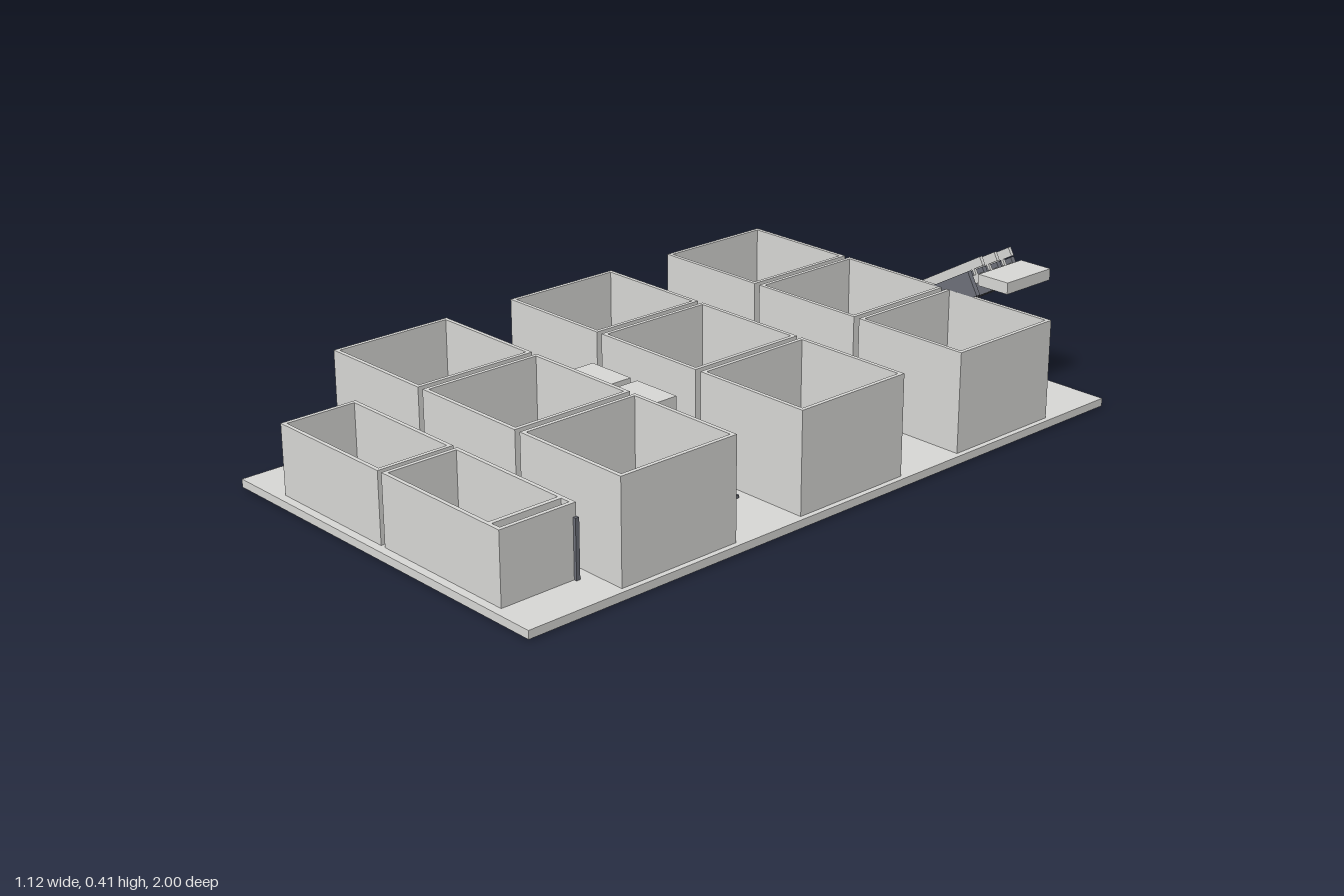
import * as THREE from 'three';

const light = new THREE.MeshStandardMaterial({ color: 0xdadad8 });
light.name = 'lightGrey';
const dark = new THREE.MeshStandardMaterial({ color: 0x6f727b });
dark.name = 'slateGrey';

// Box from minimum and maximum corners
function box(parent, name, mat, x0, x1, y0, y1, z0, z1) {
  const mesh = new THREE.Mesh(new THREE.BoxGeometry(x1 - x0, y1 - y0, z1 - z0), mat);
  mesh.position.set((x0 + x1) / 2, (y0 + y1) / 2, (z0 + z1) / 2);
  mesh.name = name;
  parent.add(mesh);
  return mesh;
}

// Counter-clockwise rectangle, so that extruded hole walls face inwards
function rect(Type, x0, x1, z0, z1) {
  return new Type([[x0, z0], [x0, z1], [x1, z1], [x1, z0]].map(([x, z]) => new THREE.Vector2(x, -z)));
}

// Slab or ring of walls with one rectangular hole, extruded upwards
function ring(parent, name, outer, inner, y0, y1) {
  const shape = rect(THREE.Shape, ...outer);
  shape.holes.push(rect(THREE.Path, ...inner));
  const geo = new THREE.ExtrudeGeometry(shape, { depth: y1 - y0, bevelEnabled: false });
  geo.rotateX(-Math.PI / 2).translate(0, y0, 0);
  const mesh = new THREE.Mesh(geo, light);
  mesh.name = name;
  parent.add(mesh);
}

const FLOOR = 0.03;
const WALL = 0.011;

function room(parent, name, x0, x1, z0, z1, top) {
  ring(parent, name, [x0, x1, z0, z1], [x0 + WALL, x1 - WALL, z0 + WALL, z1 - WALL], FLOOR, top);
}

export function createModel() {
  const model = new THREE.Group();
  model.name = 'buildingLayout';

  // Ground slab with the opening below the stairs
  ring(model, 'groundSlab', [-0.56, 0.56, -1, 1], [-0.2, 0.235, -0.945, -0.815], 0.008, FLOOR);

  // Three rows of three open rooms, each with a rear door and sign board
  const columns = [[-0.545, -0.194, -0.515, -0.23], [-0.176, 0.176, -0.165, 0.147], [0.194, 0.545, 0.225, 0.51]];
  for (const z of [-0.778, -0.21, 0.361]) {
    const row = new THREE.Group();
    row.name = 'roomRow';
    for (const [x0, x1, b0, b1] of columns) {
      room(row, 'roomWalls', x0, x1, z, z + 0.356, 0.304);
      box(row, 'signBoard', dark, b0, b1, 0.255, 0.285, z - 0.01, z - 0.002);
      const c = (x0 + x1) / 2;
      box(row, 'roomDoor', dark, c - 0.055, c + 0.055, FLOOR, 0.185, z - 0.006, z);
    }
    model.add(row);
  }

  // Two low front rooms with furniture along the front wall
  const front = new THREE.Group();
  front.name = 'frontRooms';
  room(front, 'frontRoomRight', -0.403, -0.008, 0.757, 0.977, 0.22);
  room(front, 'frontRoomLeft', 0.007, 0.438, 0.757, 0.977, 0.22);
  box(front, 'partition', light, 0.388, 0.4, FLOOR, 0.22, 0.768, 0.966);
  box(front, 'doorEdge', dark, 0.43, 0.446, FLOOR, 0.185, 0.755, 0.766);
  for (const x of [-0.392, 0.015]) {
    for (let i = 0; i < 5; i++) {
      const s = x + i * 0.063;
      box(front, 'seat', light, s, s + 0.05, FLOOR, 0.07, 0.905, 0.955);
    }
    box(front, 'bench', light, x + 0.11, x + 0.26, FLOOR, 0.055, 0.945, 0.965);
  }
  model.add(front);

  // Two closed cabins
  box(model, 'cabin', light, -0.16, -0.015, FLOOR, 0.24, 0.19, 0.333);
  box(model, 'cabin', light, 0.01, 0.155, FLOOR, 0.24, 0.19, 0.333);

  // Dark platform carrying a tilted panel
  box(model, 'panelBase', dark, 0.19, 0.365, FLOOR, 0.038, 0.177, 0.347);
  const panel = box(model, 'tiltedPanel', light, 0.208, 0.35, 0.052, 0.058, 0.19, 0.33);
  panel.rotation.x = -0.25;

  // Landings at both ends of the stairs
  box(model, 'upperLanding', light, 0.297, 0.397, 0.338, 0.37, -0.952, -0.775);
  box(model, 'lowerLanding', light, -0.365, -0.262, FLOOR, 0.04, -0.952, -0.775);

  // Low walls around the opening
  box(model, 'openingEndWall', light, 0.235, 0.245, FLOOR, 0.115, -0.955, -0.805);
  for (const z of [-0.955, -0.815]) box(model, 'openingSideWall', light, -0.04, 0.235, FLOOR, 0.115, z, z + 0.01);

  // Three inclined flights between four stringers, modelled flat and then tilted
  const stairs = new THREE.Group();
  stairs.name = 'inclinedStairs';
  stairs.rotation.z = Math.PI / 6;
  stairs.position.x = 0.003;
  for (let i = 0; i < 4; i++) {
    const z = -0.952 + i * 0.0593;
    box(stairs, 'stringer', dark, -0.2015, 0.413, 0.121, 0.191, z - 0.007, z + 0.007);
    if (i === 3) continue;
    box(stairs, 'flight', light, -0.195, 0.41, 0.153, 0.176, z + 0.007, z + 0.0523);
    box(stairs, 'handrail', light, -0.18, 0.443, 0.192, 0.217, z + 0.025, z + 0.035);
    for (const s of [-0.17, 0.03, 0.23, 0.4]) {
      box(stairs, 'railPost', light, s, s + 0.008, 0.176, 0.192, z + 0.026, z + 0.034);
    }
  }
  model.add(stairs);

  return model;
}
